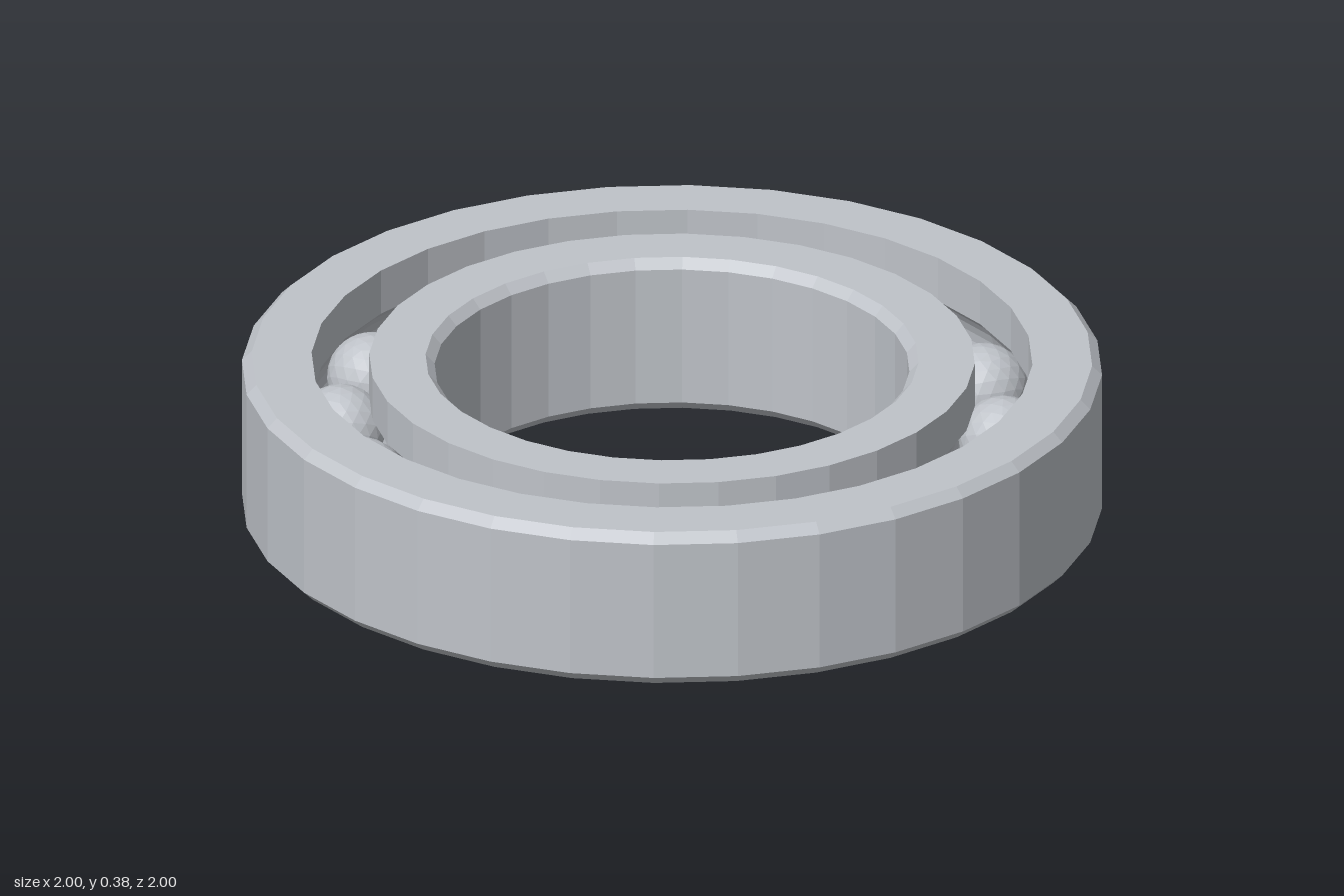
import * as THREE from 'three';

const HEIGHT = 0.385, MID = HEIGHT / 2, CHAMFER = 0.023;
const PITCH = 0.77;          // radius of the circle of ball centres
const BALL = 0.104, GROOVE = 0.107;
const SEGMENTS = 32, BALLS = 16;

// Groove arc cut into a race wall at radius r, listed bottom to top
function grooveArc(r, steps = 8) {
  const side = Math.sign(r - PITCH);
  const half = Math.acos(Math.abs(r - PITCH) / GROOVE);
  return Array.from({ length: steps + 1 }, (_, i) => {
    const a = -half + (2 * half * i) / steps;
    return new THREE.Vector2(PITCH + side * GROOVE * Math.cos(a), MID + GROOVE * Math.sin(a));
  });
}

// Chamfered cylindrical wall at radius r; inset points into the ring body, bottom to top
function chamferedWall(r, inset) {
  return [[r + inset, 0], [r, CHAMFER], [r, HEIGHT - CHAMFER], [r + inset, HEIGHT]]
    .map(([x, y]) => new THREE.Vector2(x, y));
}

// Straight race wall with a ball groove, bottom to top
function raceWall(r) {
  return [new THREE.Vector2(r, 0), ...grooveArc(r), new THREE.Vector2(r, HEIGHT)];
}

// Closed ring from an outward wall and an inward wall
function ring(name, outside, inside, material) {
  const profile = [...outside, ...inside.reverse(), outside[0].clone()];
  const mesh = new THREE.Mesh(new THREE.LatheGeometry(profile, SEGMENTS), material);
  mesh.name = name;
  return mesh;
}

export function createModel() {
  const steel = new THREE.MeshStandardMaterial({ color: 0xbfc3c9, flatShading: true });
  steel.name = 'steel';

  const model = new THREE.Group();
  model.name = 'ballBearing';

  // Outer and inner races
  model.add(ring('outerRing', chamferedWall(1, -0.023), raceWall(0.838), steel));
  model.add(ring('innerRing', raceWall(0.704), chamferedWall(0.552, 0.021), steel));

  // Balls evenly spaced in the grooves
  const balls = new THREE.Group();
  balls.name = 'balls';
  const ballGeometry = new THREE.IcosahedronGeometry(BALL, 3);
  for (let i = 0; i < BALLS; i++) {
    const a = (i / BALLS) * Math.PI * 2;
    const ball = new THREE.Mesh(ballGeometry, steel);
    ball.name = `ball${i + 1}`;
    ball.position.set(Math.sin(a) * PITCH, MID, Math.cos(a) * PITCH);
    ball.rotation.y = a;
    balls.add(ball);
  }
  model.add(balls);
  return model;
}
